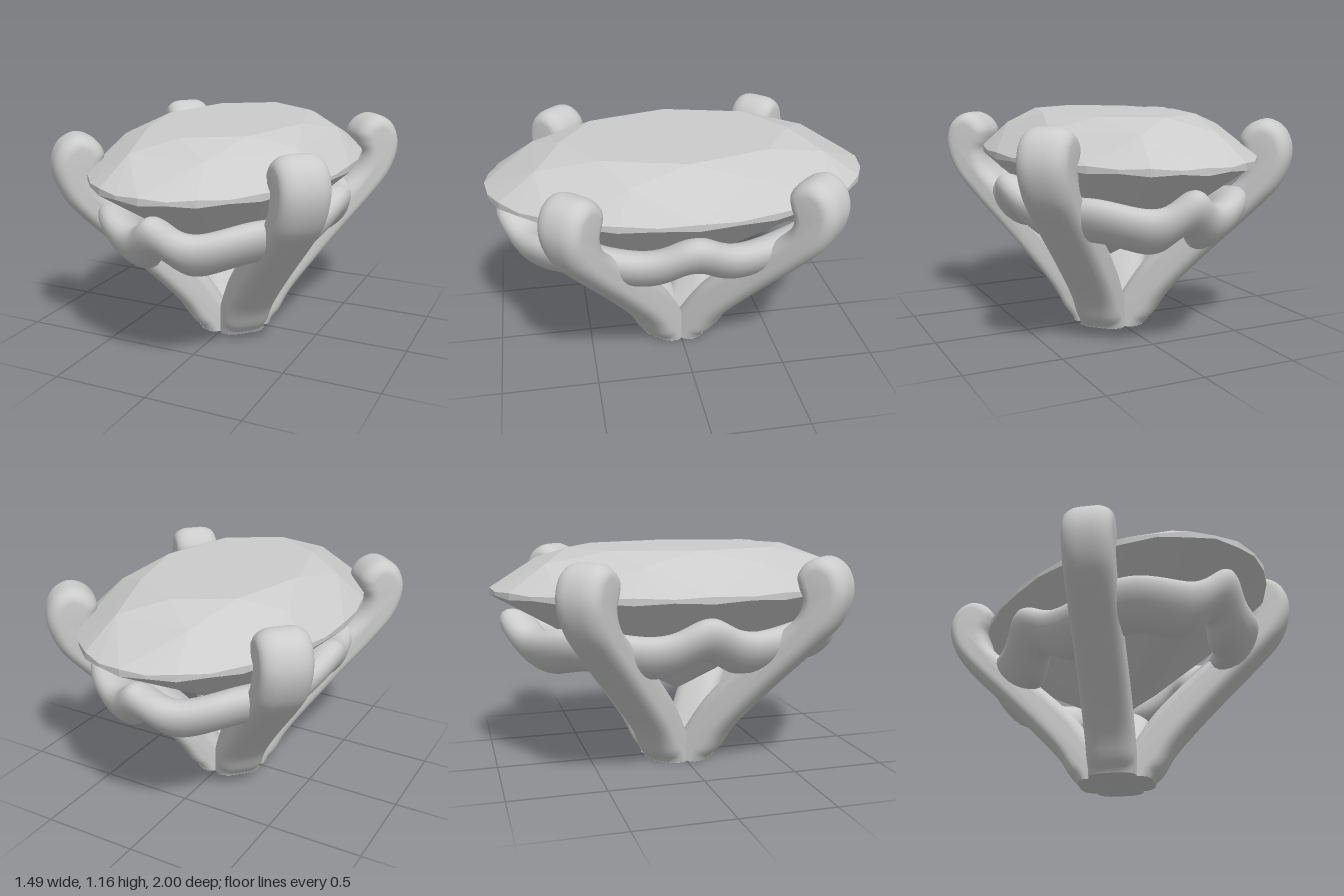
import * as THREE from 'three';
import { mergeVertices, toCreasedNormals } from 'three/addons/utils/BufferGeometryUtils.js';
import { ConvexGeometry } from 'three/addons/geometries/ConvexGeometry.js';

const HALF_X = 0.65, HALF_Z = 1.0;

// Oval brilliant: convex hull of the facet corner rings
function gemGeometry() {
  const points = [new THREE.Vector3(0, 0.37, 0)];
  const ring = (count, offset, radius, heightAt) => {
    for (let i = 0; i < count; i++) {
      const a = ((i + offset) / count) * Math.PI * 2;
      points.push(new THREE.Vector3(HALF_X * radius * Math.sin(a), heightAt(i), HALF_Z * radius * Math.cos(a)));
    }
  };
  ring(8, 0, 0.6, () => 1.163);                        // table
  ring(8, 0.5, 0.8, () => 1.098);                      // star facets
  ring(32, 0, 1, (i) => (i % 2 ? 0.96 : 0.968));       // girdle top
  ring(32, 0, 1, (i) => (i % 2 ? 0.942 : 0.932));      // girdle bottom
  ring(8, 0.5, 0.3, () => 0.52);                       // pavilion facets
  return new ConvexGeometry(points);
}

// Hooked claw: side profile (radius, height) with rounded edges and a flat foot
function prongGeometry() {
  const outline = [
    [0.20, -0.1], [0.20, 0], [0.25, 0.06], [0.335, 0.19], [0.55, 0.42], [0.83, 0.70], [0.93, 0.83],
    [0.97, 0.97], [0.935, 1.085], [0.85, 1.138], [0.765, 1.115], [0.715, 1.05], [0.725, 0.98],
    [0.745, 0.92], [0.71, 0.83], [0.59, 0.72], [0.375, 0.53], [0.23, 0.385], [0.15, 0.28],
    [0.08, 0.17], [0, 0.04], [-0.01, -0.1],
  ].map(([r, y]) => new THREE.Vector2(r, y));
  const shape = new THREE.Shape();
  shape.moveTo(outline[0].x, outline[0].y);
  shape.splineThru(outline.slice(1));
  const width = 0.25, bevel = 0.06, rounding = 0.085;
  const depth = width - 2 * rounding;
  const geo = new THREE.ExtrudeGeometry(shape, {
    depth, curveSegments: 4,
    bevelThickness: rounding, bevelSize: bevel, bevelOffset: -bevel, bevelSegments: 6,
  });
  geo.translate(0, 0, -depth / 2);
  const pos = geo.attributes.position;
  for (let i = 0; i < pos.count; i++) pos.setY(i, Math.max(0, pos.getY(i)));
  return toCreasedNormals(geo, 0.8);
}

// Rise of the gallery rail: a peak on each side, a dip, then a lift to the prongs
function railRise(angle) {
  const quarter = Math.PI / 2;
  const d = Math.abs(angle - Math.round(angle / quarter) * quarter);
  return 0.092 * Math.exp(-((d / 0.16) ** 2)) + 0.04 * THREE.MathUtils.smoothstep(d, 0.3, 0.78);
}

// Scalloped oval rail, leaning outward and flaring where it rises
function railGeometry() {
  const geo = new THREE.TorusGeometry(1, 0.1, 20, 192);
  const { position, uv } = geo.attributes;
  const tilt = 0.8;
  for (let i = 0; i < position.count; i++) {
    const u = uv.getX(i) * Math.PI * 2, v = uv.getY(i) * Math.PI * 2;
    const across = 0.085 * Math.cos(v), along = 0.145 * Math.sin(v);
    const rise = railRise(u);
    const out = across * Math.cos(tilt) + along * Math.sin(tilt) + rise * 0.5;
    const up = along * Math.cos(tilt) - across * Math.sin(tilt) + rise;
    position.setXYZ(i, (0.485 + out) * Math.cos(u), 0.645 + up, -(0.79 + out) * Math.sin(u));
  }
  geo.deleteAttribute('uv');
  geo.deleteAttribute('normal');
  const merged = mergeVertices(geo, 1e-5);
  merged.computeVertexNormals();
  return merged;
}

export function createModel() {
  const group = new THREE.Group();
  group.name = 'gemSetting';
  const metal = new THREE.MeshStandardMaterial({ color: 0xcccccc });
  const stone = new THREE.MeshStandardMaterial({ color: 0xcccccc, flatShading: true });

  const add = (name, geometry, material) => {
    const mesh = new THREE.Mesh(geometry, material);
    mesh.name = name;
    group.add(mesh);
    return mesh;
  };

  add('ovalGem', gemGeometry(), stone);
  add('galleryRail', railGeometry(), metal);

  // Four prongs on the diagonals
  const prong = prongGeometry();
  ['backLeftProng', 'backRightProng', 'frontRightProng', 'frontLeftProng'].forEach((name, i) => {
    add(name, prong, metal).rotation.y = Math.PI / 4 + (i * Math.PI) / 2;
  });
  return group;
}
